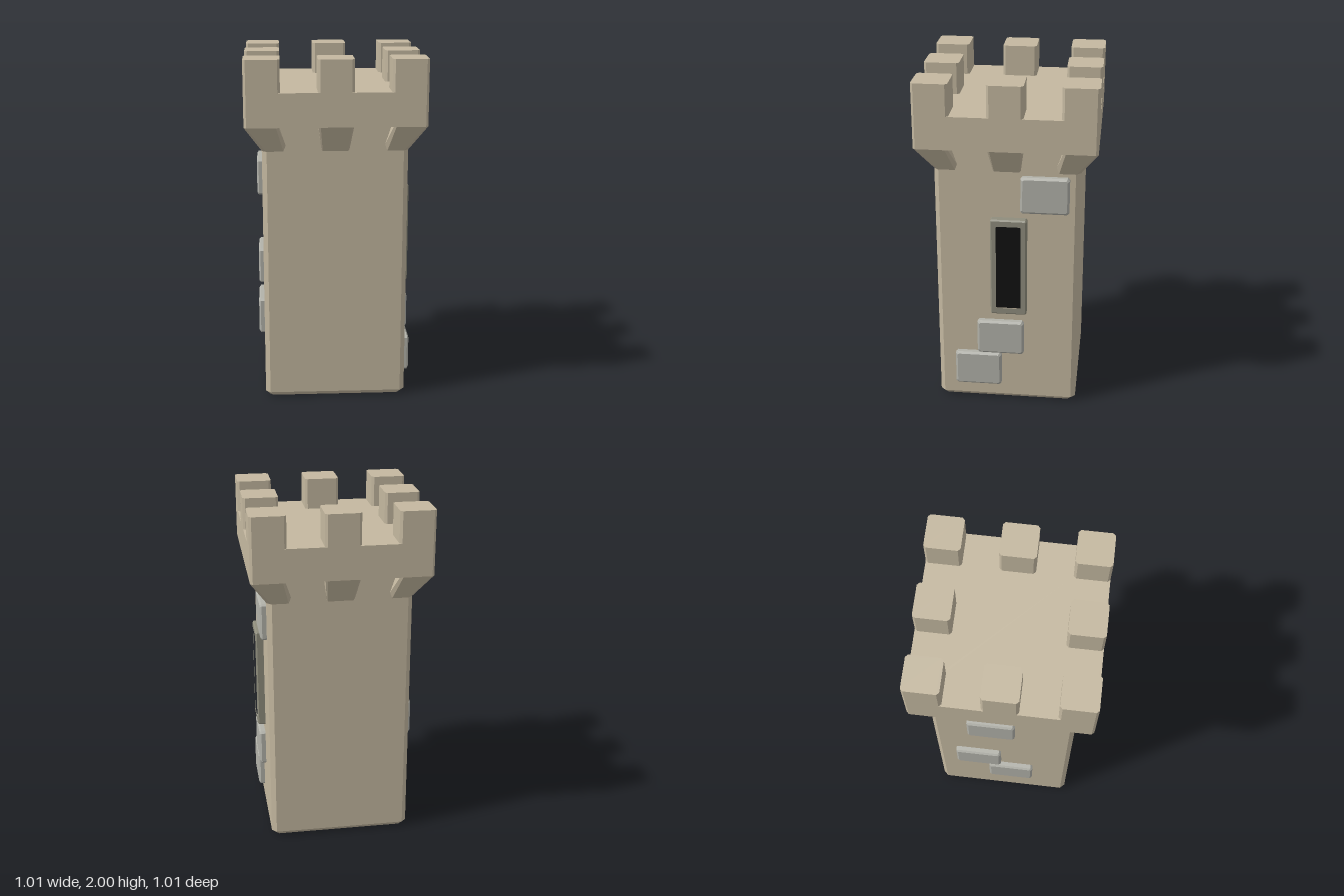
import * as THREE from 'three';

const mat = (color) => new THREE.MeshStandardMaterial({ color, flatShading: true });
const wall = mat(0xc4b8a0), stone = mat(0xb2b2aa), trim = mat(0x8f8d7d), dark = mat(0x111111);

// Rectangle a0..a1 by b0..b1 with its corners cut off by c
const cutRect = (a0, a1, b0, b1, c) => [
  [a1, b1 - c], [a1, b0 + c], [a1 - c, b0], [a0 + c, b0],
  [a0, b0 + c], [a0, b1 - c], [a0 + c, b1], [a1 - c, b1],
];

// Solid through level sections [y, x0, x1, z0, z1, cornerCut], listed from the bottom up
function loft(sections) {
  const rings = sections.map(([y, ...r]) => cutRect(...r).map(([x, z]) => [x, y, z]));
  const pos = [];
  const tri = (a, b, c) => pos.push(...a, ...b, ...c);
  const n = 8, top = rings[rings.length - 1], base = rings[0];
  for (let k = 0; k + 1 < rings.length; k++) {
    const a = rings[k], b = rings[k + 1];
    for (let i = 0; i < n; i++) {
      const j = (i + 1) % n;
      tri(a[i], a[j], b[j]);
      tri(a[i], b[j], b[i]);
    }
  }
  for (let i = 1; i < n - 1; i++) {
    tri(top[0], top[i], top[i + 1]);
    tri(base[0], base[i + 1], base[i]);
  }
  const g = new THREE.BufferGeometry();
  g.setAttribute('position', new THREE.Float32BufferAttribute(pos, 3));
  g.computeVertexNormals();
  return g;
}

function add(parent, name, geometry, material) {
  const mesh = new THREE.Mesh(geometry, material);
  mesh.name = name;
  parent.add(mesh);
  return mesh;
}

export function createModel() {
  const tower = new THREE.Group();
  tower.name = 'tower';

  // Shaft with a chamfered foot, and the overhanging parapet
  const R = 0.41, P = 0.505;
  add(tower, 'shaft', loft([
    [0, -0.385, 0.385, -0.385, 0.385, 0.02],
    [0.028, -R, R, -R, R, 0.027],
    [1.65, -R, R, -R, R, 0.027],
  ]), wall);
  add(tower, 'parapet', loft([
    [1.63, -P, P, -P, P, 0.014],
    [1.82, -P, P, -P, P, 0.014],
  ]), wall);

  // Merlons: three per side
  const merlons = new THREE.Group();
  merlons.name = 'merlons';
  tower.add(merlons);
  const merlonGeo = loft([
    [1.82, -0.1, 0.1, -0.1, 0.1, 0.014],
    [2, -0.1, 0.1, -0.1, 0.1, 0.014],
  ]);
  for (const i of [-1, 0, 1]) for (const j of [-1, 0, 1]) {
    if (!i && !j) continue;
    add(merlons, 'merlon', merlonGeo, wall).position.set(i * 0.405, 0, j * 0.405);
  }

  // Tapered corbels under the parapet: one mid-side and one corner per quarter turn
  const corbels = new THREE.Group();
  corbels.name = 'corbels';
  tower.add(corbels);
  const midGeo = loft([
    [1.48, -0.077, 0.077, 0.25, R, 0.006],
    [1.63, -0.097, 0.097, 0.31, P, 0.012],
  ]);
  const cornerGeo = loft([
    [1.48, 0.265, R, 0.265, R, 0.025],
    [1.63, 0.315, P, 0.315, P, 0.014],
  ]);
  for (let q = 0; q < 4; q++) {
    add(corbels, 'middleCorbel', midGeo, wall).rotation.y = q * Math.PI / 2;
    add(corbels, 'cornerCorbel', cornerGeo, wall).rotation.y = q * Math.PI / 2;
  }

  // Raised stones on both flanks: [side, y, z]
  const stoneGeo = loft([
    [0, -0.108, 0.108, -0.137, 0.137, 0.012],
    [0.035, -0.108, 0.108, -0.137, 0.137, 0.012],
    [0.045, -0.096, 0.096, -0.125, 0.125, 0.008],
  ]);
  const stones = [
    [1, 1.353, -0.215], [1, 0.438, 0.037], [1, 0.218, 0.17],
    [-1, 1.255, -0.065], [-1, 0.675, -0.15], [-1, 0.425, 0.05],
  ];
  for (const [side, y, z] of stones) {
    const s = add(tower, 'wallStone', stoneGeo, stone);
    s.rotation.z = -side * Math.PI / 2;
    s.position.set(side * 0.4, y, z);
  }

  // Arrow slit: bevelled frame round a dark recess
  const slit = new THREE.Group();
  slit.name = 'arrowSlit';
  slit.position.set(0.4, 0.905, -0.012);
  slit.rotation.y = Math.PI / 2;
  tower.add(slit);
  const points = (w, h, c) => cutRect(-w, w, -h, h, c).map(([x, y]) => new THREE.Vector2(x, y));
  const frame = new THREE.Shape(points(0.104, 0.3, 0.008));
  frame.holes.push(new THREE.Path(points(0.079, 0.268, 0.01)));
  add(slit, 'slitFrame', new THREE.ExtrudeGeometry(frame, {
    depth: 0.047, bevelThickness: 0.008, bevelSize: 0.008, bevelOffset: -0.008, bevelSegments: 1,
  }), trim);
  add(slit, 'slitOpening', new THREE.BoxGeometry(0.17, 0.55, 0.02), dark).position.z = 0.01;

  return tower;
}
